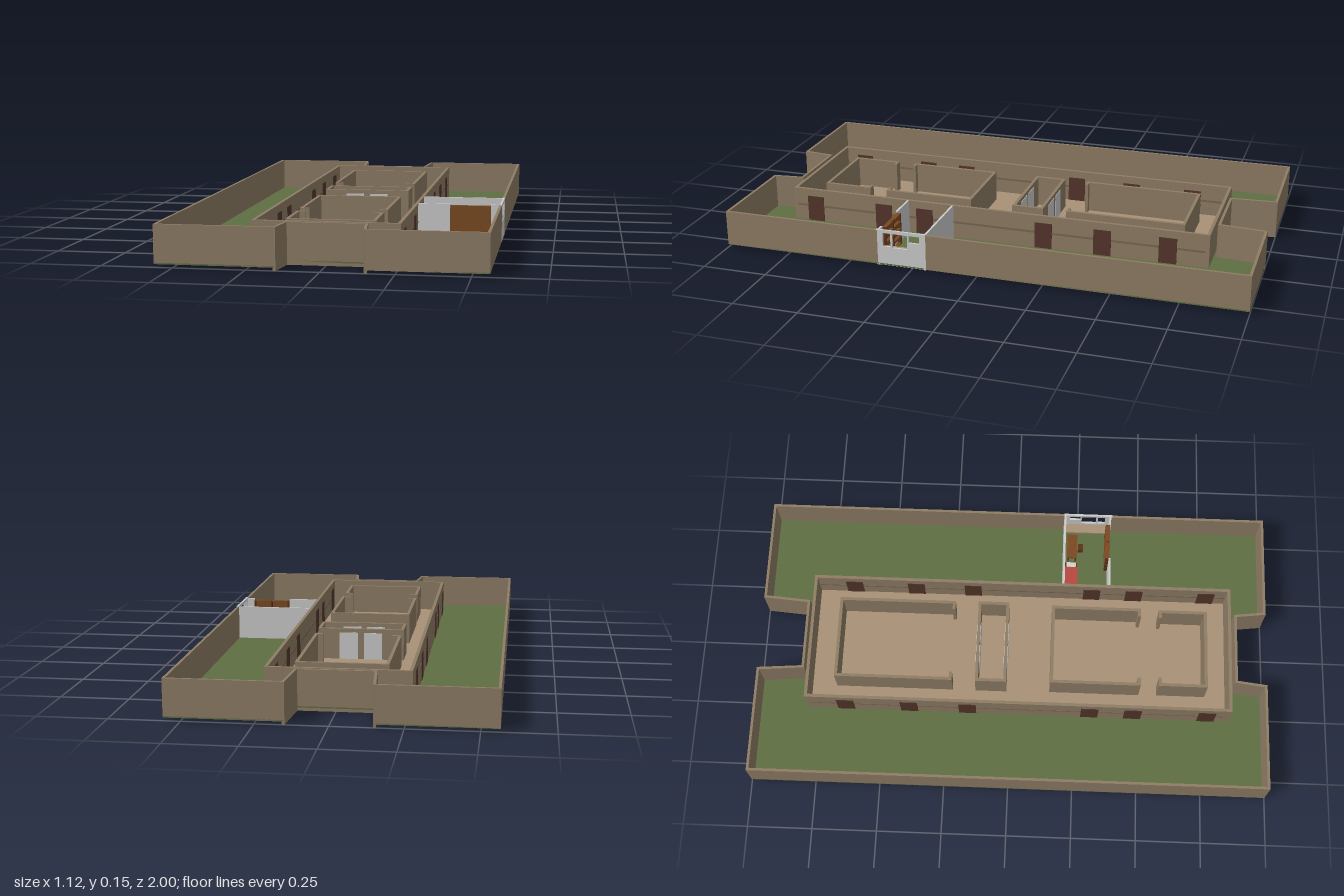
import * as THREE from 'three';

const mat = (color) => new THREE.MeshStandardMaterial({ color });
const M = {
  wall: mat(0x8f7d66), floor: mat(0xa89177), grass: mat(0x5f6e42), base: mat(0x7a6657),
  door: mat(0x54352a), band: mat(0x7a6650), grey: mat(0xcccccc), wood: mat(0x7a4a22),
  darkWood: mat(0x5c3317), red: mat(0xb5483f), leaf: mat(0x2f5a2c), pale: mat(0xd8d2c8),
};
const TOP = 0.147;

// Box given by its minimum and maximum corners
function block(parent, name, m, x0, x1, y0, y1, z0, z1) {
  const mesh = new THREE.Mesh(new THREE.BoxGeometry(x1 - x0, y1 - y0, z1 - z0), m);
  mesh.position.set((x0 + x1) / 2, (y0 + y1) / 2, (z0 + z1) / 2);
  mesh.name = name;
  parent.add(mesh);
  return mesh;
}

// Upright wall between two plan points
function wall(parent, name, m, [xa, za], [xb, zb], y0, y1, t) {
  const len = Math.hypot(xb - xa, zb - za);
  const mesh = new THREE.Mesh(new THREE.BoxGeometry(len + t, y1 - y0, t), m);
  mesh.position.set((xa + xb) / 2, (y0 + y1) / 2, (za + zb) / 2);
  mesh.rotation.y = -Math.atan2(zb - za, xb - xa);
  mesh.name = name;
  parent.add(mesh);
}

function group(parent, name) {
  const g = new THREE.Group();
  g.name = name;
  parent.add(g);
  return g;
}

function wallRun(parent, name, m, pts, y0, y1, t) {
  for (let i = 0; i + 1 < pts.length; i++) wall(parent, name, m, pts[i], pts[i + 1], y0, y1, t);
}

export function createModel() {
  const root = new THREE.Group();
  root.name = 'walledCompound';

  // Lawn with a tapered notch at each end
  const outline = [
    [-0.565, -1], [-0.15, -1], [-0.135, -0.825], [0.135, -0.825], [0.15, -1], [0.56, -1],
    [0.56, 1], [0.15, 1], [0.135, 0.885], [-0.135, 0.885], [-0.15, 1], [-0.565, 1],
  ];
  const lawnShape = new THREE.Shape(outline.map(([x, z]) => new THREE.Vector2(x, -z)));
  const lawnGeo = new THREE.ExtrudeGeometry(lawnShape, { depth: 0.005, bevelEnabled: false });
  lawnGeo.rotateX(-Math.PI / 2);
  const lawn = new THREE.Mesh(lawnGeo, M.grass);
  lawn.position.y = 0.011;
  lawn.name = 'lawn';
  root.add(lawn);

  // Perimeter wall, open where the side room stands
  const perimeter = group(root, 'perimeterWall');
  const P = 0.01;
  const L = -0.56, R = 0.555, F = 0.995, B = -0.995;
  wallRun(perimeter, 'outerWall', M.wall, [
    [R, 0.385], [R, F], [0.154, F]], 0.011, TOP, P);
  wallRun(perimeter, 'outerWall', M.wall, [
    [-0.154, F], [L, F], [L, B], [-0.154, B]], 0.011, TOP, P);
  wallRun(perimeter, 'outerWall', M.wall, [
    [0.154, B], [R, B], [R, 0.185]], 0.011, TOP, P);
  for (const [end, inner] of [[F, 0.88], [B, -0.82]]) {
    wallRun(perimeter, 'notchWall', M.wall, [
      [-0.152, end], [-0.138, inner], [0.138, inner], [0.152, end]], 0, TOP, P);
  }

  // Main building: floor, enclosing walls, bands and doors
  const building = group(root, 'mainBuilding');
  block(building, 'foundation', M.base, -0.262, 0.252, 0.004, 0.014, -0.805, 0.862);
  block(building, 'floor', M.floor, -0.26, 0.25, 0.013, 0.02, -0.803, 0.86);
  wallRun(building, 'buildingWall', M.wall, [
    [-0.256, -0.799], [0.246, -0.799], [0.246, 0.856], [-0.256, 0.856], [-0.256, -0.799]],
  0.014, TOP, 0.012);
  for (const x of [-0.256, 0.246]) {
    block(building, 'wallBand', M.band, x - 0.007, x + 0.007, 0.075, 0.083, -0.79, 0.847);
    for (const z of [0.77, 0.48, 0.31, -0.17, -0.4, -0.65]) {
      block(building, 'door', M.door, x - 0.008, x + 0.008, 0.016, 0.118, z - 0.034, z + 0.034);
    }
  }

  // Inner rooms; each open side keeps short return walls
  const rooms = group(root, 'innerRooms');
  const T = 0.012, H = 0.14, stub = 0.022;
  const openRoom = (x0, x1, zClosed, zOpen) => wallRun(rooms, 'roomWall', M.wall, [
    [x0 + stub, zOpen], [x0, zOpen], [x0, zClosed],
    [x1, zClosed], [x1, zOpen], [x1 - stub, zOpen]], 0.016, H, T);
  openRoom(-0.164, 0.157, -0.69, -0.24);
  openRoom(-0.16, 0.152, 0.157, 0.5);
  openRoom(-0.158, 0.148, 0.762, 0.583);
  wallRun(rooms, 'middleRoomWall', M.wall, [
    [-0.164, -0.137], [0.159, -0.137], [0.159, -0.026], [-0.164, -0.026], [-0.164, -0.137]],
  0.016, H, T);
  for (const z of [-0.137, -0.026]) {
    for (const x of [-0.05, 0.045]) {
      block(rooms, 'greyDoor', M.grey, x - 0.036, x + 0.036, 0.018, 0.125, z - 0.008, z + 0.008);
    }
  }

  // Side room
  const side = group(root, 'sideRoom');
  block(side, 'backWall', M.grey, 0.252, 0.56, 0.008, 0.148, 0.19, 0.198);
  block(side, 'frontWall', M.grey, 0.252, 0.37, 0.008, 0.148, 0.373, 0.381);
  block(side, 'frontLowWall', M.grey, 0.37, 0.56, 0.008, 0.03, 0.373, 0.381);
  block(side, 'frontCornerWall', M.grey, 0.52, 0.56, 0.03, 0.148, 0.373, 0.381);

  // Window wall facing outwards
  const rect = (Type, a, b, c, d) => new Type([[a, c], [b, c], [b, d], [a, d]]
    .map(([u, v]) => new THREE.Vector2(u, v)));
  const face = rect(THREE.Shape, -0.385, -0.19, 0.01, 0.15);
  face.holes.push(
    rect(THREE.Path, -0.358, -0.328, 0.085, 0.138),
    rect(THREE.Path, -0.321, -0.262, 0.082, 0.138),
    rect(THREE.Path, -0.256, -0.214, 0.11, 0.138),
  );
  const windowGeo = new THREE.ExtrudeGeometry(face, { depth: 0.008, bevelEnabled: false });
  windowGeo.rotateY(Math.PI / 2);
  const windowWall = new THREE.Mesh(windowGeo, M.grey);
  windowWall.position.x = 0.552;
  windowWall.name = 'windowWall';
  side.add(windowWall);
  block(side, 'windowLedge', M.floor, 0.515, 0.552, 0.062, 0.07, 0.2, 0.373);

  // Bookcase with open shelves facing the room
  const bookcase = group(side, 'bookcase');
  block(bookcase, 'bookcaseBack', M.wood, 0.37, 0.52, 0.016, 0.142, 0.373, 0.377);
  for (const x of [0.37, 0.442, 0.514]) {
    block(bookcase, 'bookcaseSide', M.darkWood, x, x + 0.006, 0.016, 0.142, 0.36, 0.374);
  }
  for (let i = 0; i < 5; i++) {
    const y = 0.018 + i * 0.03;
    block(bookcase, 'shelf', M.wood, 0.37, 0.52, y, y + 0.004, 0.36, 0.374);
  }

  // Bed with blanket and pillow
  const bed = group(side, 'bed');
  block(bed, 'bedFrame', M.darkWood, 0.265, 0.39, 0.016, 0.04, 0.2, 0.25);
  block(bed, 'blanket', M.red, 0.27, 0.365, 0.04, 0.056, 0.2, 0.252);
  block(bed, 'pillow', M.pale, 0.367, 0.387, 0.04, 0.053, 0.206, 0.244);

  // Table on four legs with a stool
  const table = group(side, 'table');
  block(table, 'tableTop', M.wood, 0.4, 0.505, 0.064, 0.07, 0.207, 0.247);
  for (const x of [0.403, 0.497]) {
    for (const z of [0.21, 0.239]) {
      block(table, 'tableLeg', M.darkWood, x, x + 0.005, 0.016, 0.064, z, z + 0.005);
    }
  }
  block(side, 'stool', M.darkWood, 0.448, 0.475, 0.016, 0.042, 0.252, 0.272);

  // Small potted plant
  const plant = group(side, 'plant');
  plant.position.set(0.27, 0.016, 0.266);
  const pot = new THREE.Mesh(new THREE.CylinderGeometry(0.009, 0.006, 0.018, 8), M.wood);
  pot.position.y = 0.009;
  pot.name = 'pot';
  const leaves = new THREE.Mesh(new THREE.IcosahedronGeometry(0.014, 0), M.leaf);
  leaves.position.y = 0.028;
  leaves.name = 'leaves';
  plant.add(pot, leaves);

  return root;
}
